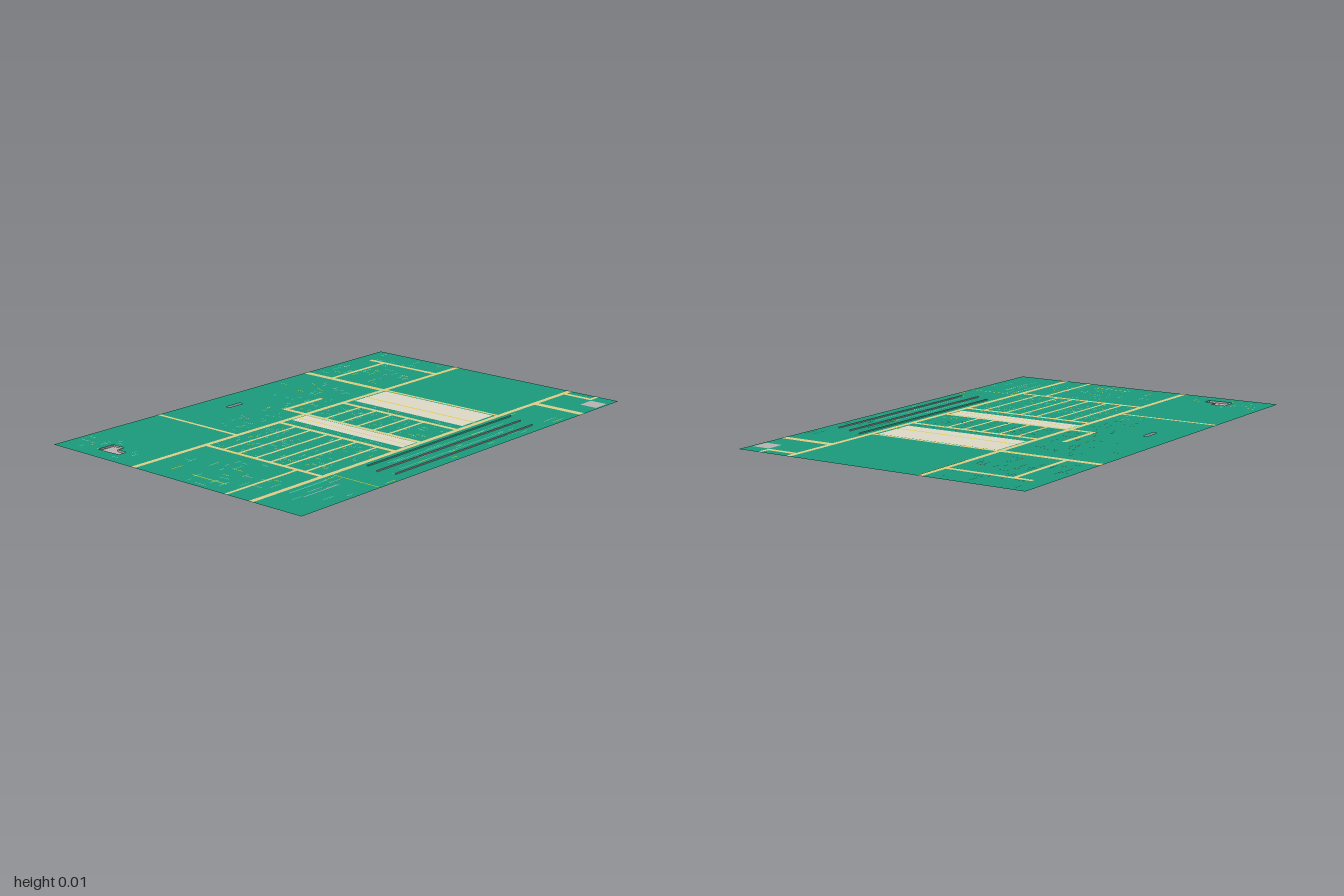
import * as THREE from 'three';
import { mergeGeometries } from 'three/addons/utils/BufferGeometryUtils.js';

const GROUND = 0.008;
const COLORS = {
  green: 0x1a987a, road: 0xdccb86, plaza: 0xdcd6c6, grey: 0xb6b0b1,
  yellow: 0xd8cc20, cyan: 0x5fd0b4,
};

const material = (color) => new THREE.MeshStandardMaterial({ color, side: THREE.DoubleSide });

// Flat rectangle lying at height y, from (x0, z0) to (x1, z1)
function patch([x0, x1, z0, z1], y) {
  return new THREE.PlaneGeometry(x1 - x0, z1 - z0)
    .rotateX(-Math.PI / 2)
    .translate((x0 + x1) / 2, y, (z0 + z1) / 2);
}

function patches(name, rects, y, color) {
  const mesh = new THREE.Mesh(mergeGeometries(rects.map((r) => patch(r, y))), material(color));
  mesh.name = name;
  return mesh;
}

// Outline in x/z; shapes are drawn in x/-z and laid flat
const toPoints = (list) => list.map(([x, z]) => new THREE.Vector2(x, -z));

function flatShape(name, shape, y, color) {
  const geometry = new THREE.ShapeGeometry(shape).rotateX(-Math.PI / 2).translate(0, y, 0);
  const mesh = new THREE.Mesh(geometry, material(color));
  mesh.name = name;
  return mesh;
}

function seeded(seed) {
  return () => {
    seed = (seed * 16807) % 2147483647;
    return seed / 2147483647;
  };
}

export function createModel() {
  const model = new THREE.Group();
  model.name = 'districtMap';

  // Ground sheet with a slot and a sunken basin cut out
  const basin = [[-0.925, -0.484], [-0.845, -0.484], [-0.845, -0.42], [-0.882, -0.42],
    [-0.882, -0.37], [-0.922, -0.37], [-0.922, -0.395], [-0.925, -0.42]];
  const slot = [[-0.16, -0.535], [-0.08, -0.535], [-0.08, -0.517], [-0.16, -0.517]];
  const sheet = new THREE.Shape(toPoints([[-1, 0.662], [1, 0.662], [1, -0.662], [-1, -0.662]]));
  sheet.holes.push(new THREE.Path(toPoints(basin)), new THREE.Path(toPoints(slot)));
  model.add(flatShape('ground', sheet, GROUND, COLORS.green));

  // Basin floor and its low walls
  model.add(flatShape('basinFloor', new THREE.Shape(toPoints(basin)), 0, COLORS.grey));
  const walls = basin.map(([x, z], i) => {
    const [x2, z2] = basin[(i + 1) % basin.length];
    return new THREE.PlaneGeometry(Math.hypot(x2 - x, z2 - z), GROUND)
      .rotateY(-Math.atan2(z2 - z, x2 - x))
      .translate((x + x2) / 2, GROUND / 2, (z + z2) / 2);
  });
  const basinWalls = new THREE.Mesh(mergeGeometries(walls), material(COLORS.grey));
  basinWalls.name = 'basinWalls';
  model.add(basinWalls);

  // Paved plazas and corner pad
  model.add(patches('plazas', [[-0.127, -0.038, -0.19, 0.398], [0.265, 0.47, -0.187, 0.392]],
    GROUND + 0.0004, COLORS.plaza));
  model.add(patches('cornerPad', [[0.85, 0.93, 0.57, 0.65]], GROUND + 0.0004, COLORS.grey));

  // Main roads
  model.add(patches('mainRoads', [
    [-1, 1, -0.216, -0.194], [-1, 1, 0.404, 0.426],
    [-0.44, -0.425, -0.662, -0.216], [0.463, 0.491, -0.662, -0.216],
    [0.476, 0.491, -0.194, 0.404], [0.832, 0.853, -0.592, -0.216],
    [0.491, 0.832, -0.518, -0.5], [-0.621, -0.602, -0.194, 0.404],
    [-0.197, -0.176, -0.194, 0.404], [-0.036, -0.015, -0.194, 0.404],
    [-0.036, -0.015, -0.328, -0.216], [-0.015, 0.2, -0.328, -0.308],
    [0.197, 0.218, -0.194, 0.404], [-1, -0.621, 0.28, 0.294],
    [0.718, 0.75, 0.426, 0.662], [0.935, 0.957, 0.426, 0.565],
    [0.957, 1, 0.549, 0.565],
  ], GROUND + 0.0008, COLORS.road));

  // Side streets of the two housing blocks
  const street = (x0, x1) => (z) => [x0, x1, z - 0.006, z + 0.006];
  model.add(patches('sideStreets', [
    ...[-0.11, -0.03, 0.062, 0.142, 0.217, 0.324].map(street(-0.602, -0.197)),
    ...[-0.102, -0.016, 0.072, 0.158, 0.238].map(street(-0.015, 0.197)),
  ], GROUND + 0.0008, COLORS.road));

  // Raised rails along the front
  [[-0.4, 0.51, 0.455, COLORS.cyan], [-0.43, 0.48, 0.526, COLORS.grey],
    [-0.41, 0.46, 0.6, COLORS.grey]].forEach(([x0, x1, z, color], i) => {
    const rail = new THREE.Mesh(new THREE.BoxGeometry(x1 - x0, 0.005, 0.005), material(color));
    rail.position.set((x0 + x1) / 2, GROUND + 0.0025, z);
    rail.name = `rail${i + 1}`;
    model.add(rail);
  });

  // Thin painted lines
  const marks = {
    yellow: [[0.336, 0.343, -0.19, 0.4], [-0.088, -0.084, -0.19, 0.39], [0.474, 0.478, -0.4, -0.05],
      [-0.572, -0.568, 0.43, 0.655], [-0.917, -0.912, 0.03, 0.21], [0.7, 1, -0.197, -0.193],
      [-0.62, -0.616, -0.09, 0.06]],
    cyan: [[-0.84, -0.63, 0.453, 0.457], [-0.3, 0.4, 0.497, 0.5], [-0.35, 0.3, 0.57, 0.573]],
    grey: [[-0.84, -0.64, 0.522, 0.526]],
  };

  // Small scattered marks: x0, x1, z0, z1, count, longest
  const random = seeded(71);
  const kinds = Object.keys(marks);
  [[-0.98, -0.8, -0.65, -0.3, 18, 0.04], [-0.42, 0.42, -0.42, -0.23, 50, 0.03],
    [0.1, 0.42, -0.62, -0.3, 14, 0.04], [0.5, 0.98, -0.64, -0.23, 38, 0.06],
    [-0.98, -0.65, -0.17, 0.38, 26, 0.06], [-0.59, -0.21, -0.18, 0.39, 110, 0.025],
    [-0.16, -0.14, -0.18, 0.39, 12, 0.02], [0, 0.18, -0.18, 0.39, 60, 0.025],
    [0.22, 0.26, -0.18, 0.39, 14, 0.02], [-0.9, 0.65, 0.44, 0.65, 26, 0.1],
  ].forEach(([x0, x1, z0, z1, count, longest]) => {
    for (let i = 0; i < count; i++) {
      const length = longest * (0.3 + 0.7 * random());
      const along = random() < 0.5 || longest > 0.09;
      const w = along ? length : 0.003;
      const d = along ? 0.003 : length;
      const x = x0 + random() * (x1 - x0 - w);
      const z = z0 + random() * (z1 - z0 - d);
      marks[kinds[Math.floor(random() * 3)]].push([x, x + w, z, z + d]);
    }
  });
  for (const kind of kinds) {
    model.add(patches(`${kind}Lines`, marks[kind], GROUND + 0.0012, COLORS[kind]));
  }
  return model;
}
